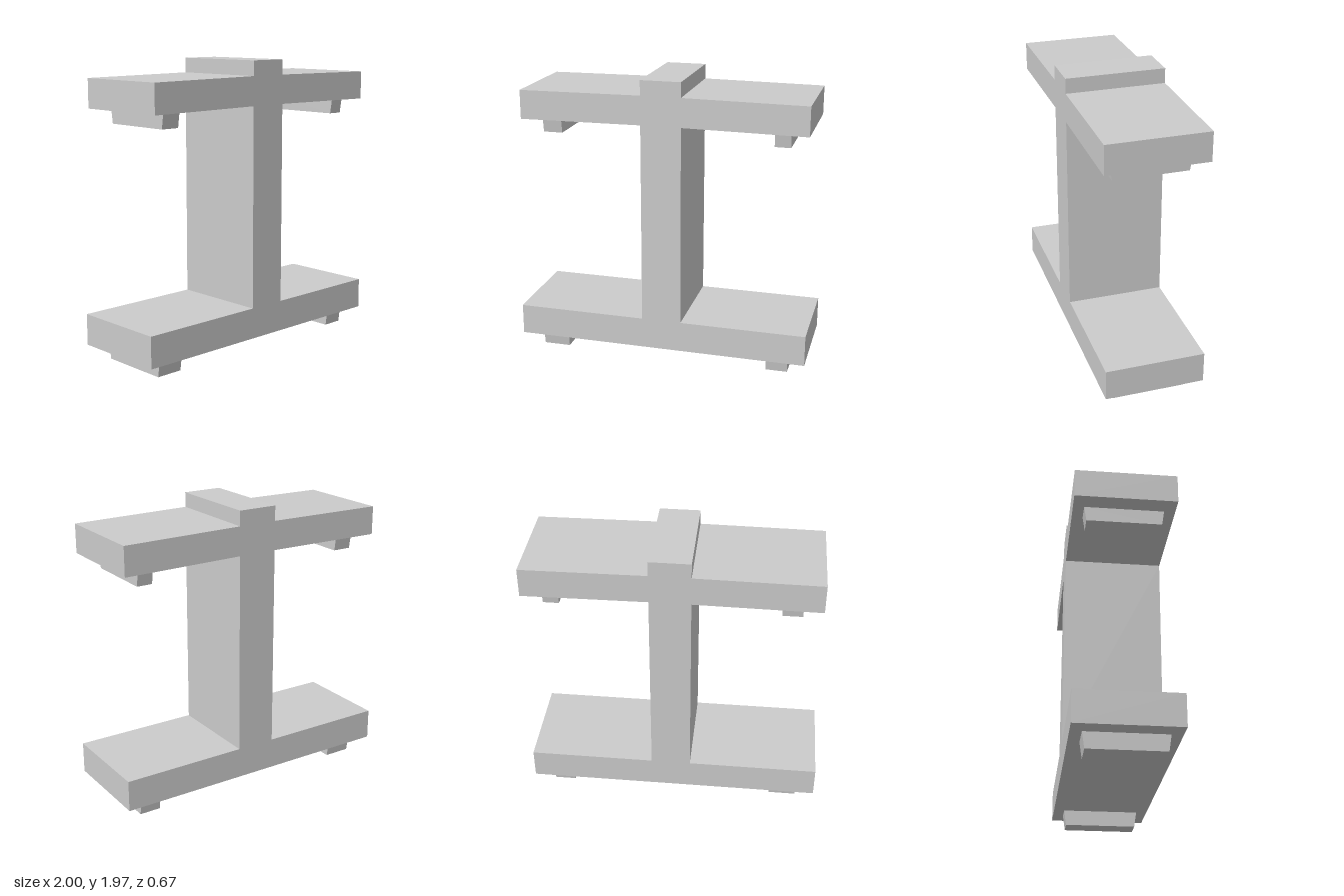
import * as THREE from 'three';

const material = new THREE.MeshStandardMaterial({ color: 0xcccccc, flatShading: true });

// Extrude a closed outline along z, centred on z = 0
function prism(points, depth) {
  const shape = new THREE.Shape(points.map(([x, y]) => new THREE.Vector2(x, y)));
  return new THREE.ExtrudeGeometry(shape, { depth, bevelEnabled: false }).translate(0, 0, -depth / 2);
}

// Foot block running front to back, its ends tapering downwards
function foot(name, x0, x1, bottom, top) {
  const profile = [[-0.245, bottom], [0.245, bottom], [0.26, top], [-0.26, top]];
  const mesh = new THREE.Mesh(prism(profile, x1 - x0).rotateY(Math.PI / 2), material);
  mesh.position.x = (x0 + x1) / 2;
  mesh.name = name;
  return mesh;
}

export function createModel() {
  const group = new THREE.Group();
  group.name = 'doubleShelfStand';

  // Base slab, off-centre column and slightly drooping upper arms in one outline
  const outline = [
    [-1, 0.105], [1, 0.105], [1, 0.315], [0.15, 0.315],
    [0.15, 1.671], [0.97, 1.664], [0.97, 1.858], [0.15, 1.865],
    [0.15, 1.965], [-0.12, 1.965], [-0.12, 1.865], [-0.945, 1.858],
    [-0.945, 1.664], [-0.12, 1.671], [-0.12, 0.315], [-1, 0.315],
  ];
  const frame = new THREE.Mesh(prism(outline, 0.665), material);
  frame.name = 'frame';
  group.add(frame);

  // Feet under the base and blocks under the arms
  group.add(
    foot('rightBaseFoot', -0.875, -0.69, 0, 0.105),
    foot('leftBaseFoot', 0.73, 0.875, 0, 0.105),
    foot('rightArmBlock', -0.82, -0.69, 1.565, 1.666),
    foot('leftArmBlock', 0.74, 0.845, 1.565, 1.666),
  );
  return group;
}
